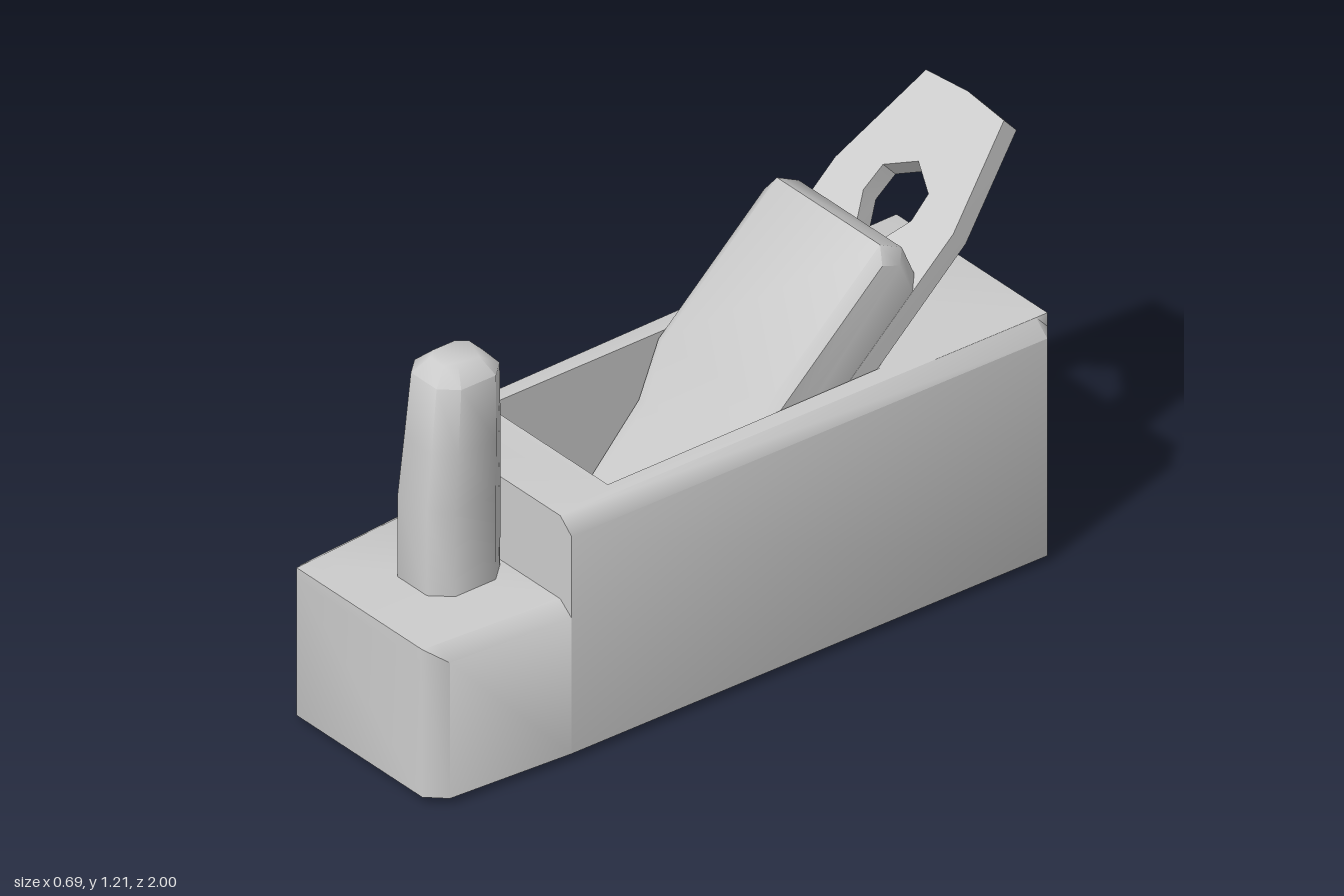
import * as THREE from 'three';
import { toCreasedNormals } from 'three/addons/utils/BufferGeometryUtils.js';

const material = new THREE.MeshStandardMaterial({ color: 0xcccccc });

const toPoints = (pts) => pts.map(([x, y]) => new THREE.Vector2(x, y));

// Mirror a half outline (positive x, listed from one end to the other) across x = 0
const mirrored = (half) => [...half, ...half.slice().reverse().filter(([x]) => x > 0).map(([x, y]) => [-x, y])];

// Extrude an outline through numbered levels; rule(vertex, level) places each vertex
function levelExtrude(outline, levelCount, rule, hole) {
  const shape = new THREE.Shape(toPoints(outline));
  if (hole) shape.holes.push(new THREE.Path(toPoints(hole)));
  const steps = levelCount - 1;
  const geo = new THREE.ExtrudeGeometry(shape, { depth: steps, steps, bevelEnabled: false });
  const pos = geo.attributes.position;
  const v = new THREE.Vector3();
  for (let i = 0; i < pos.count; i++) {
    v.fromBufferAttribute(pos, i);
    rule(v, Math.round(v.z));
    pos.setXYZ(i, v.x, v.y, v.z);
  }
  return geo;
}

function addPart(group, name, geo, crease = 0.95) {
  const mesh = new THREE.Mesh(toCreasedNormals(geo, crease), material);
  mesh.name = name;
  group.add(mesh);
}

// Block seen in plan (x, -z) whose long top edges are chamfered
function block(half, ys, chamferFrom, chamfer, hole) {
  return levelExtrude(mirrored(half), 3, (v, level) => {
    if (level === 2 && Math.abs(v.x) > chamferFrom) v.x -= Math.sign(v.x) * chamfer;
    v.z = ys[level];
  }, hole).rotateX(-Math.PI / 2);
}

export function createModel() {
  const group = new THREE.Group();

  // Main body with the throat cut right through it
  const throat = [[-0.24, -0.395], [-0.24, 0.48], [0.24, 0.48], [0.24, -0.395]];
  addPart(group, 'body', block(
    [[0.325, -0.58], [0.345, 0.935], [0.3, 0.972]],
    [0.02, 0.66, 0.7], 0.31, 0.045, throat));

  // Lower step at the front
  addPart(group, 'frontStep', block(
    [[0.25, -1], [0.298, -0.95], [0.325, -0.58]],
    [0.02, 0.42, 0.455], 0.27, 0.045));

  // Sloping bed inside the throat, profile in (z, y)
  const bed = levelExtrude([[-0.48, 0.02], [0.27, 0.02], [-0.48, 0.7]], 2,
    (v, level) => { v.z = level ? 0.24 : -0.24; }).rotateY(-Math.PI / 2);
  addPart(group, 'bed', bed);

  // Cutting iron: tapered head and keyhole slot, lying along the bed
  const ironHalf = [[0.235, 0], [0.235, 1.42], [0.155, 1.728], [0, 1.74]];
  const keyhole = mirrored([[0.05, 0.9], [0.05, 1.31], [0.095, 1.39], [0.09, 1.47], [0, 1.525]]);
  const iron = levelExtrude(mirrored(ironHalf), 2, (v, level) => {
    v.z = level * 0.06;
    if (v.y < 0.001) v.y -= v.z * 1.1; // flat ground cutting edge
  }, keyhole);
  iron.rotateX(-0.834).translate(0, 0, 0.29);
  addPart(group, 'cuttingIron', iron, 0.6);

  // Wedge: profile in (z, y), softened towards its two sides
  const wedgeProfile = [[0.33, 0.046], [0.3, 0.11], [-0.09, 0.53], [-0.14, 0.7],
    [-0.51, 1.035], [-0.58, 1.0], [-0.62, 0.907]];
  const wedgeX = [-0.235, -0.205, 0.205, 0.235];
  const wedge = levelExtrude(wedgeProfile, 4, (v, level) => {
    const side = level === 0 || level === 3;
    if (side && v.y > 0.9) { v.x += 0.03; v.y -= 0.027; }
    if (side && v.y > 0.6 && v.x > -0.54) { v.x -= 0.013; v.y -= 0.015; }
    v.z = wedgeX[level];
  }).rotateY(-Math.PI / 2);
  addPart(group, 'wedge', wedge);

  // Upright front grip: octagonal sections [y, half width, back z, front z]
  const grip = [[0.44, 0.107, 0.595, 0.83], [0.7, 0.105, 0.592, 0.83], [0.86, 0.1, 0.59, 0.812],
    [1.045, 0.093, 0.59, 0.793], [1.085, 0.05, 0.625, 0.75]];
  const octagon = mirrored([[0.55, -1], [1, -0.55], [1, 0.55], [0.55, 1]]);
  const gripGeo = levelExtrude(octagon, grip.length, (v, level) => {
    const [y, w, back, front] = grip[level];
    v.set(v.x * w, -(back + front) / 2 + v.y * (front - back) / 2, y);
  }).rotateX(-Math.PI / 2);
  addPart(group, 'frontGrip', gripGeo);

  return group;
}
